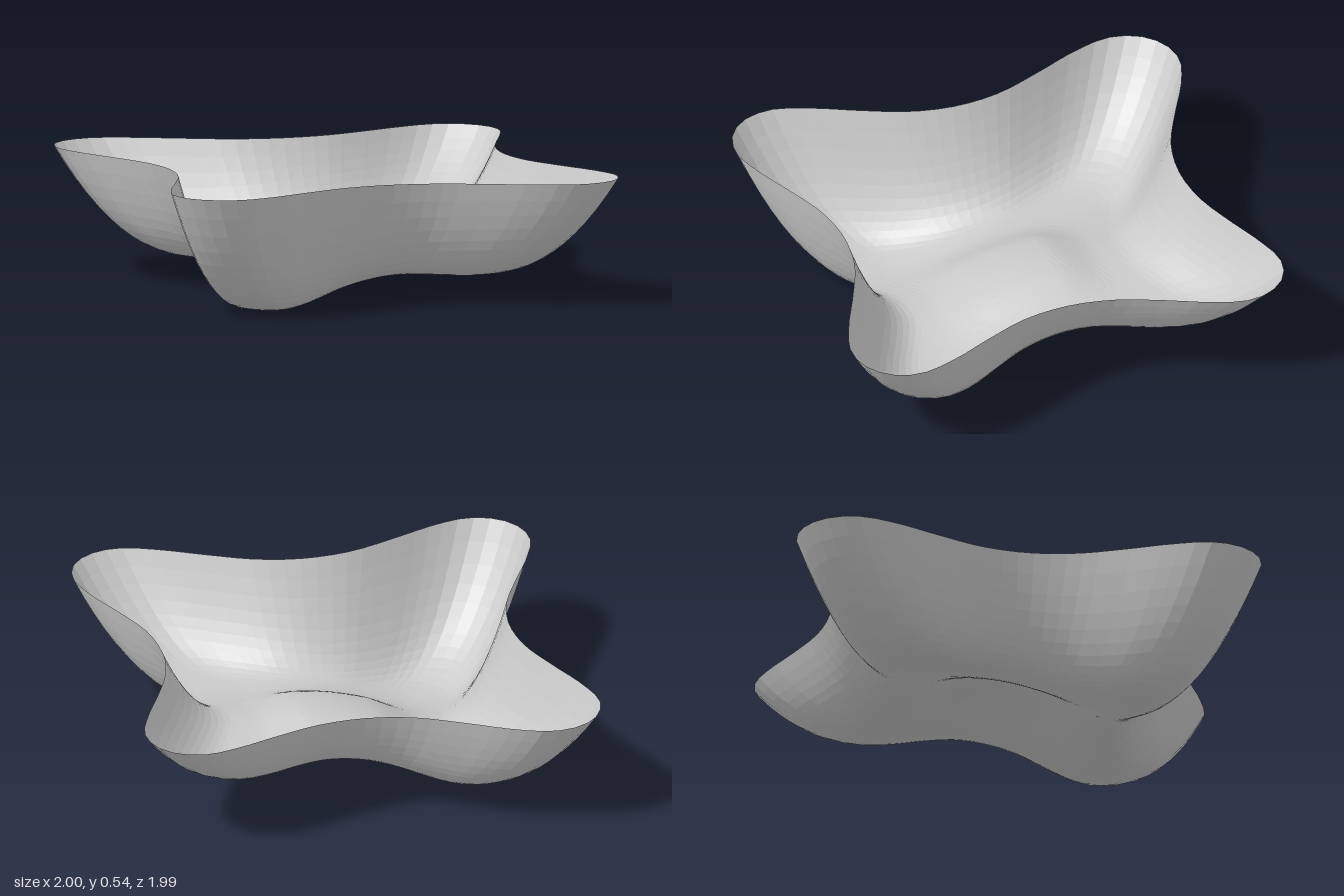
import * as THREE from 'three';

const RIM_Y = 0.545; // height of the flat rim
const SEGMENTS = 112;
const RINGS = 26;

// Four-lobed rim outline: one half side, mirrored over the diagonal and turned per corner
function rimCurve() {
  const half = [[0.745, 0], [0.775, 0.2], [0.86, 0.4], [0.955, 0.6], [1, 0.76], [0.97, 0.885]];
  const quadrant = [...half, ...half.slice(1).reverse().map(([x, z]) => [z, x])];
  const lobeScale = [[1, 0.975], [0.97, 0.99], [1, 1], [0.95, 0.955]];
  const points = [];
  for (let q = 0; q < 4; q++) {
    for (const [a, b] of quadrant) {
      const [x, z] = [[a, b], [-b, a], [-a, -b], [b, -a]][q];
      // each lobe has its own reach, fading out toward the middle of a side
      const w = THREE.MathUtils.smoothstep(Math.min(a, b), 0, 0.7);
      const [sx, sz] = lobeScale[q];
      points.push(new THREE.Vector3(x * (1 + (sx - 1) * w), 0, z * (1 + (sz - 1) * w)));
    }
  }
  return new THREE.CatmullRomCurve3(points, true, 'centripetal');
}

// Floor: tilted down to front right, with a raised cross and a square plateau in the centre
function floorHeight(x, z) {
  const tilt = (v) => Math.sin(Math.PI * THREE.MathUtils.clamp(v, -0.5, 0.5));
  const bump = (v) => 0.5 + 0.5 * Math.cos(Math.PI * Math.min(1, Math.abs(v) / 0.46));
  const plateau = (v) => 1 - THREE.MathUtils.smoothstep(Math.abs(v), 0.14, 0.38);
  return 0.114 + 0.057 * (tilt(x) - tilt(z)) + 0.047 * (bump(x) + bump(z))
    + 0.04 * plateau(x) * plateau(z);
}

// Sheet height at fraction t from the centre: floor, then a wall curving up to the rim.
// The foot of the wall is a rounded square, so the wall is narrower at the side middles.
function sheetHeight(t, x, z) {
  const floor = floorHeight(x, z);
  const foot = 0.565 + 0.035 * Math.cos(4 * Math.atan2(z, x));
  const s = Math.max(0, (t - foot) / (1 - foot));
  return floor + (RIM_Y - floor) * Math.pow(s, 2.15);
}

function bowlGeometry() {
  const rim = rimCurve().getSpacedPoints(SEGMENTS).slice(0, SEGMENTS);
  const positions = [0, floorHeight(0, 0), 0];
  for (let i = 1; i <= RINGS; i++) {
    const t = i / RINGS;
    for (const p of rim) {
      const x = p.x * t, z = p.z * t;
      positions.push(x, sheetHeight(t, x, z), z);
    }
  }
  const index = [];
  const at = (ring, j) => 1 + (ring - 1) * SEGMENTS + (j % SEGMENTS);
  for (let j = 0; j < SEGMENTS; j++) {
    index.push(0, at(1, j + 1), at(1, j));
    for (let i = 1; i < RINGS; i++) {
      const a = at(i, j), b = at(i, j + 1), c = at(i + 1, j + 1), d = at(i + 1, j);
      index.push(a, b, c, a, c, d);
    }
  }
  const geometry = new THREE.BufferGeometry();
  geometry.setAttribute('position', new THREE.Float32BufferAttribute(positions, 3));
  geometry.setIndex(index);
  geometry.computeVertexNormals();
  return geometry;
}

export function createModel() {
  const group = new THREE.Group();
  group.name = 'lobedBowl';
  const material = new THREE.MeshStandardMaterial({
    color: 0xcccccc, flatShading: true, side: THREE.DoubleSide,
  });
  const bowl = new THREE.Mesh(bowlGeometry(), material);
  bowl.name = 'bowlShell';
  group.add(bowl);
  return group;
}
